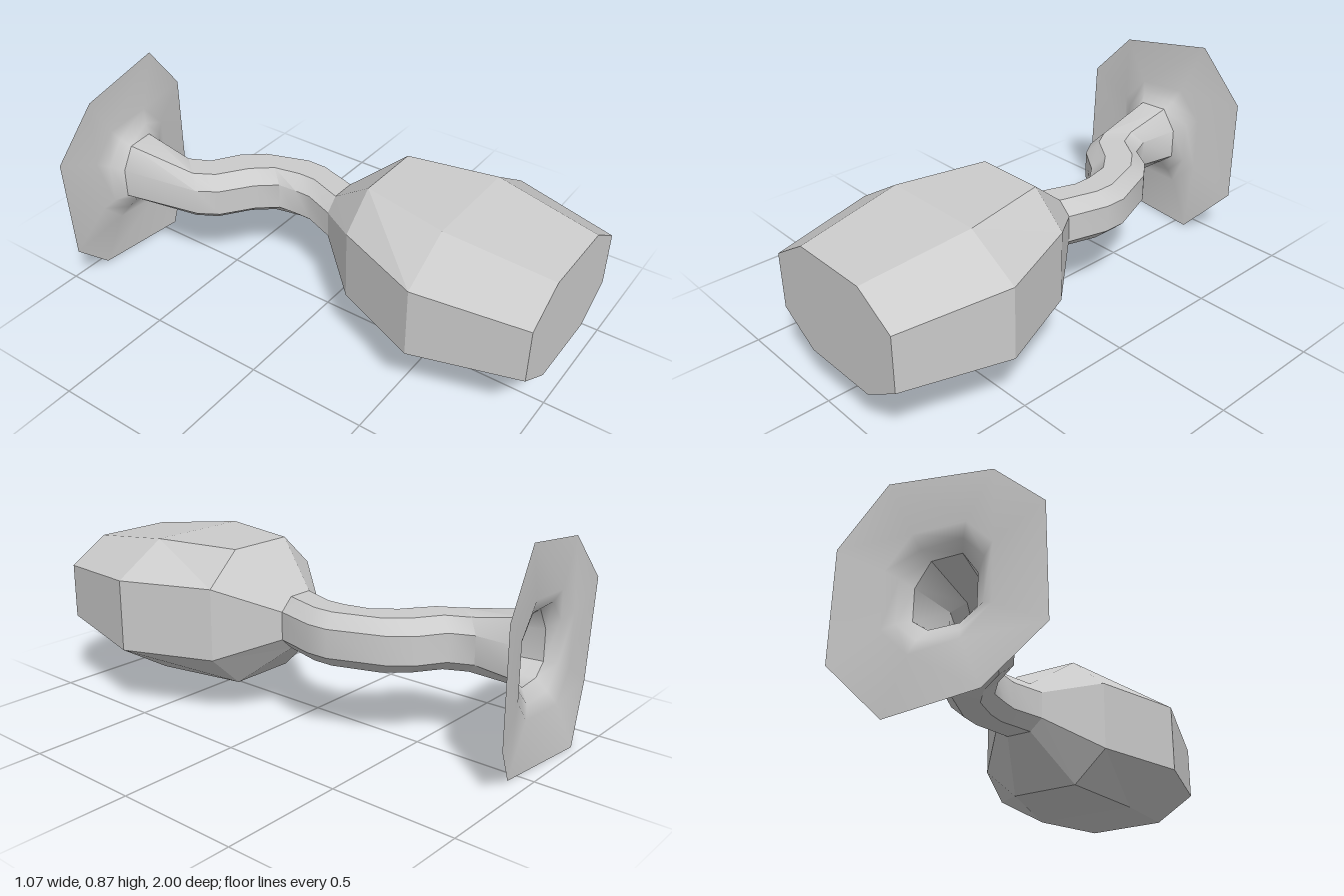
import * as THREE from 'three';
import { toCreasedNormals } from 'three/addons/utils/BufferGeometryUtils.js';

// Eight-sided ring spanning left edge (x, z) to right edge (x, z),
// counterclockwise seen from the front.
function ring([lx, lz, rx, rz, y0 = 0.305, y1 = 0.515, s0 = 0.352, s1 = 0.464]) {
  const at = (t, y) => [lx + (rx - lx) * t, y, lz + (rz - lz) * t];
  return [at(1, s0), at(1, s1), at(0.75, y1), at(0.25, y1),
    at(0, s1), at(0, s0), at(0.25, y0), at(0.75, y0)];
}

// Skin between successive rings, optionally closing the first one.
function loft(rings, cap = false) {
  const index = [];
  for (let i = 0; i < rings.length - 1; i++) {
    for (let j = 0; j < 8; j++) {
      const a = i * 8 + j, b = i * 8 + (j + 1) % 8;
      index.push(a, a + 8, b, b, a + 8, b + 8);
    }
  }
  if (cap) for (let j = 1; j < 7; j++) index.push(0, j, j + 1);
  const geo = new THREE.BufferGeometry();
  geo.setAttribute('position', new THREE.Float32BufferAttribute(rings.flat(2), 3));
  geo.setIndex(index);
  geo.computeVertexNormals();
  return geo;
}

export function createModel() {
  const group = new THREE.Group();
  const add = (name, geo, options) => {
    const mesh = new THREE.Mesh(geo, new THREE.MeshStandardMaterial({
      color: 0xcccccc, side: THREE.DoubleSide, ...options }));
    mesh.name = name;
    group.add(mesh);
  };

  // Faceted body with a flat front, tapering to the tail root
  const body = [
    [-0.228, 1, 0.438, 1, 0.193, 0.623, 0.295, 0.52],
    [-0.323, 0.57, 0.532, 0.57, 0.133, 0.683, 0.263, 0.552],
    [-0.175, 0.21, 0.385, 0.21, 0.133, 0.683, 0.263, 0.552],
    [0, 0, 0.21, 0],
  ].map(ring);
  add('body', loft(body, true), { flatShading: true });

  // Winding tail
  const tail = [
    [0, 0, 0.21, 0],
    [0.05, -0.13, 0.255, -0.17],
    [0.05, -0.2, 0.255, -0.26],
    [0.045, -0.28, 0.175, -0.47],
    [-0.02, -0.36, 0.105, -0.555],
    [-0.14, -0.45, 0, -0.62],
    [-0.19, -0.53, -0.04, -0.71],
    [-0.255, -0.87, -0.02, -0.89, 0.3, 0.56, 0.345, 0.47],
  ].map(ring);
  add('tail', toCreasedNormals(loft(tail), 0.7));

  // Flared, slightly warped octagonal fin with an open centre
  const neck = ring([-0.3, -0.905, 0.02, -0.925, 0.25, 0.59, 0.33, 0.5]);
  const rim = [
    [0.235, 0.2, -1], [0.235, 0.64, -1], [0.055, 0.865, -0.97], [-0.34, 0.812, -0.925],
    [-0.535, 0.617, -0.925], [-0.535, 0.2, -0.905], [-0.34, 0, -0.965], [0.055, 0, -0.925],
  ];
  const collar = neck.map((p, j) => p.map((v, k) =>
    k === 2 ? THREE.MathUtils.lerp(-0.935, rim[j][2], 0.25) : THREE.MathUtils.lerp(v, rim[j][k], 0.2)));
  add('tailFin', loft([tail[tail.length - 1], neck, collar, rim]));

  return group;
}
